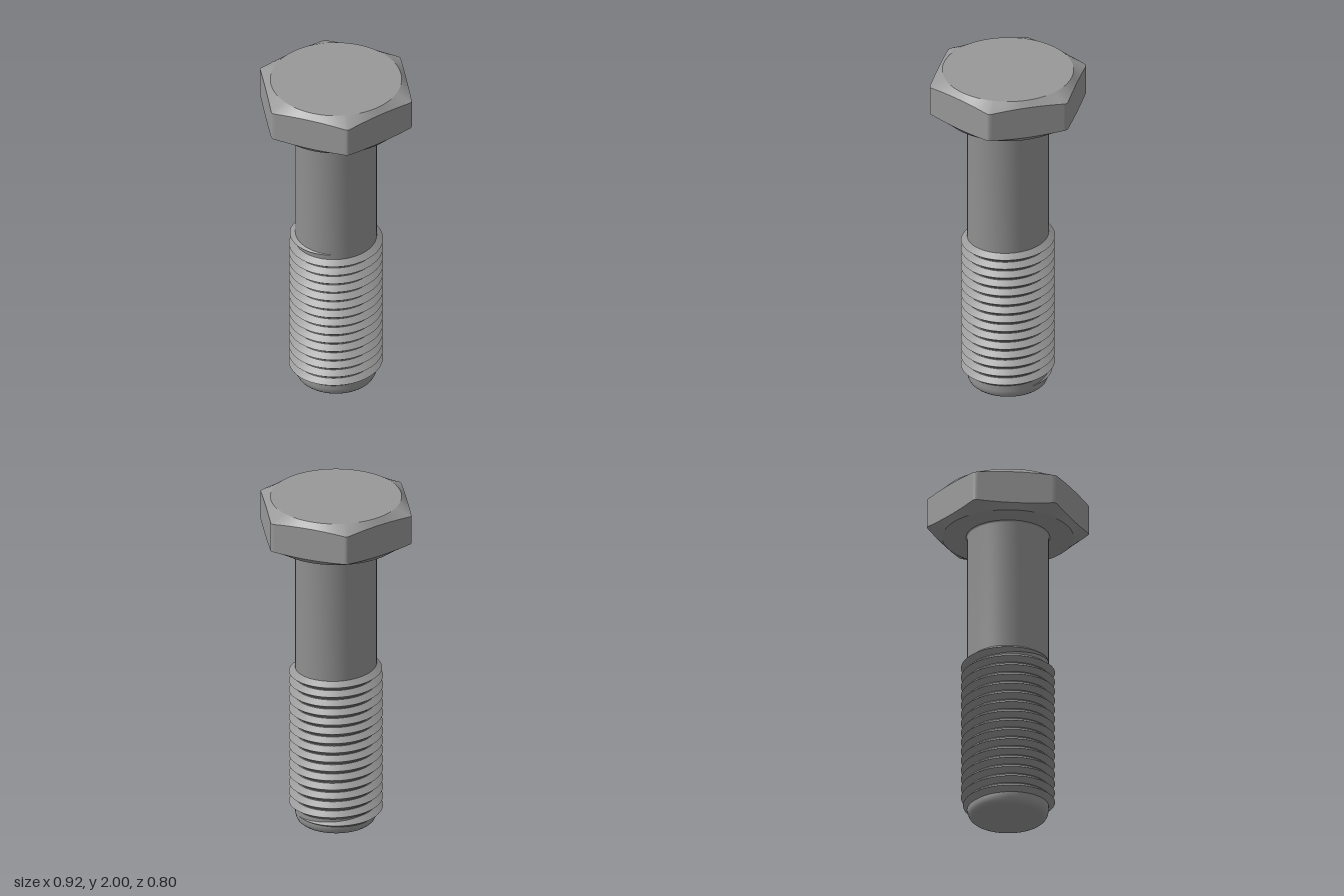
import * as THREE from 'three';
import { toCreasedNormals } from 'three/addons/utils/BufferGeometryUtils.js';

const steel = new THREE.MeshStandardMaterial({ color: 0x999999 });
const SHANK_R = 0.23;

function addMesh(group, geometry, name) {
  const mesh = new THREE.Mesh(geometry, steel);
  mesh.name = name;
  group.add(mesh);
}

// Joins rows of points (row by row) into a surface; all rows have equal length
function skin(rows) {
  const n = rows[0].length, index = [];
  for (let j = 0; j < rows.length - 1; j++) {
    for (let i = 0; i < n - 1; i++) {
      const a = j * n + i, b = a + 1, c = a + n, d = c + 1;
      index.push(a, b, d, a, d, c);
    }
  }
  const g = new THREE.BufferGeometry();
  g.setAttribute('position', new THREE.Float32BufferAttribute(rows.flat(2), 3));
  g.setIndex(index);
  g.computeVertexNormals();
  return g;
}

const polar = (r, t, y) => [r * Math.cos(t), y, -r * Math.sin(t)];

// Hexagonal head: circular faces blending through chamfers into the six flats
function headGeometry() {
  const steps = 288, bottom = 1.745, top = 2, faceR = 0.37, apothem = 0.4;
  const ring = (radius, height) => {
    const row = [];
    for (let i = 0; i <= steps; i++) {
      const t = (i / steps) * Math.PI * 2;
      const local = (t % (Math.PI / 3)) - Math.PI / 6;
      const hexR = Math.min(apothem / Math.cos(local), 0.458);
      const drop = 0.032 + 0.17 * (hexR - apothem);
      row.push(polar(radius ?? hexR, t, height(drop)));
    }
    return row;
  };
  const g = skin([
    ring(0, () => bottom),
    ring(faceR, () => bottom),
    ring(null, (d) => bottom + d),
    ring(null, (d) => top - d),
    ring(faceR, () => top),
    ring(0, () => top),
  ]);
  return toCreasedNormals(g, 0.35);
}

// Plain shank with rounded tip and a small fillet under the head
function shankGeometry() {
  const profile = [
    [0, 0], [0.195, 0], [0.207, 0.004], [0.218, 0.014], [0.226, 0.03], [SHANK_R, 0.05],
    [SHANK_R, 1.735], [0.232, 1.741], [0.236, 1.745],
  ].map(([x, y]) => new THREE.Vector2(x, y));
  return toCreasedNormals(new THREE.LatheGeometry(profile, 64), 0.6);
}

// Right-handed V thread fading out at both ends; each flank is its own strip
// so the crest stays sharp
function threadFlanks() {
  const pitch = 0.0575, startY = 0.119, half = 0.027, depth = 0.037;
  const t0 = -2.1 * Math.PI, t1 = 29.3 * Math.PI, fade = 0.6 * Math.PI;
  const steps = 1000, rootR = SHANK_R - 0.002;
  const lower = [], crest = [], upper = [];
  for (let i = 0; i <= steps; i++) {
    const t = t0 + (t1 - t0) * (i / steps);
    const y = startY + (pitch * t) / (Math.PI * 2);
    const s = Math.min(1, (t - t0) / fade, (t1 - t) / fade);
    lower.push(polar(rootR, t, y - half * s));
    crest.push(polar(rootR + depth * s, t, y));
    upper.push(polar(rootR, t, y + half * s));
  }
  return [skin([lower, crest]), skin([crest, upper])];
}

export function createModel() {
  const bolt = new THREE.Group();
  bolt.name = 'hexBolt';
  addMesh(bolt, headGeometry(), 'head');
  addMesh(bolt, shankGeometry(), 'shank');

  const thread = new THREE.Group();
  thread.name = 'thread';
  const [lower, upper] = threadFlanks();
  addMesh(thread, lower, 'lowerFlank');
  addMesh(thread, upper, 'upperFlank');
  bolt.add(thread);
  return bolt;
}
